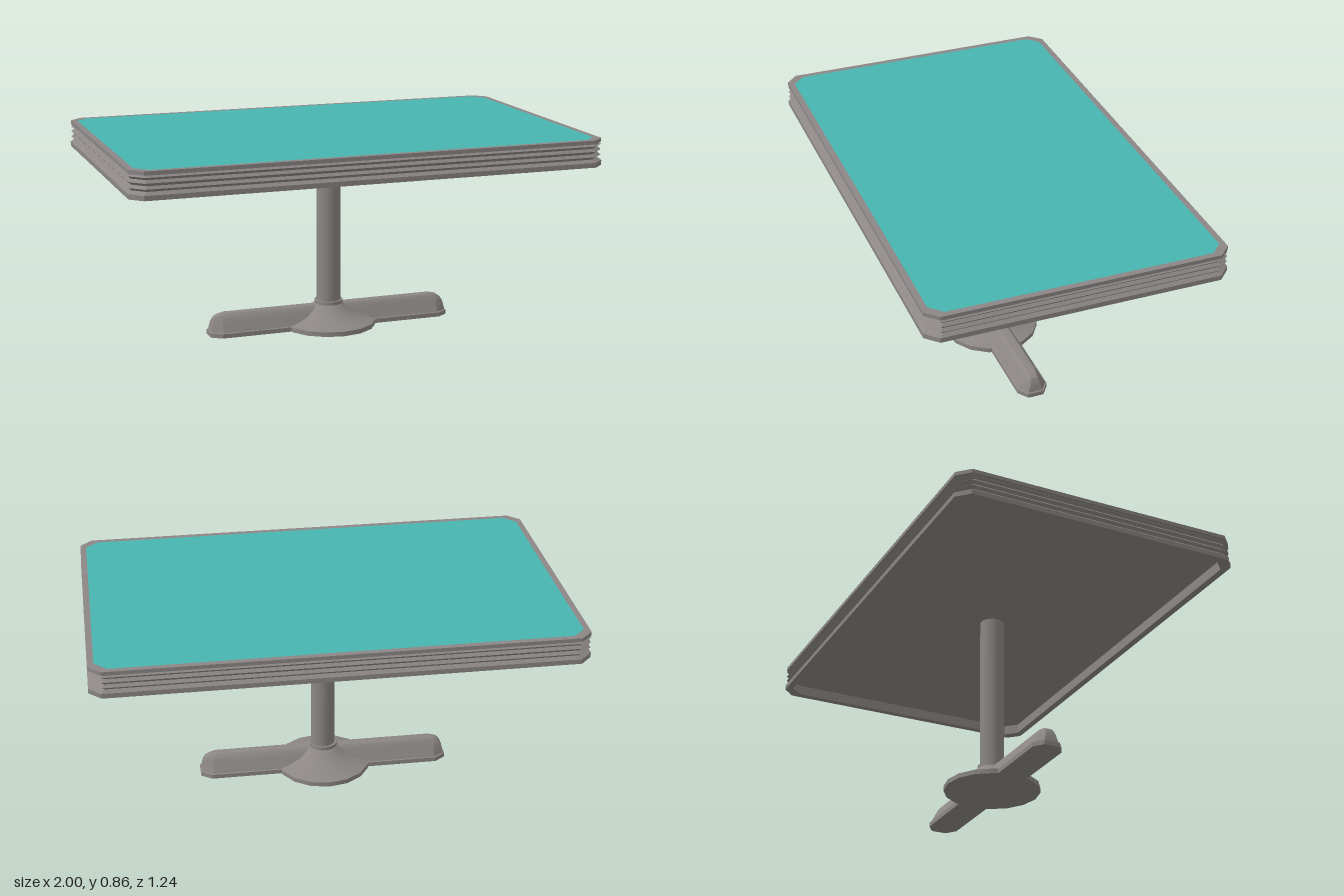
import * as THREE from 'three';
import { toCreasedNormals } from 'three/addons/utils/BufferGeometryUtils.js';

// Rectangle with cut corners, half sizes hx and hz, cuts cx and cz
function cutRect(hx, hz, cx, cz = cx) {
  return [
    [hx, -hz + cz], [hx, hz - cz], [hx - cx, hz], [-hx + cx, hz],
    [-hx, hz - cz], [-hx, -hz + cz], [-hx + cx, -hz], [hx - cx, -hz],
  ];
}

// Skin between stacked outlines, given as [y, outline] from bottom to top
function loft(rings, crease = 0.4) {
  const pos = [];
  for (let k = 0; k < rings.length - 1; k++) {
    const [y0, a] = rings[k];
    const [y1, b] = rings[k + 1];
    for (let i = 0; i < a.length; i++) {
      const j = (i + 1) % a.length;
      const A = [a[i][0], y0, a[i][1]], B = [b[i][0], y1, b[i][1]];
      const C = [b[j][0], y1, b[j][1]], D = [a[j][0], y0, a[j][1]];
      pos.push(...A, ...B, ...D, ...B, ...C, ...D);
    }
  }
  const g = new THREE.BufferGeometry();
  g.setAttribute('position', new THREE.Float32BufferAttribute(pos, 3));
  return toCreasedNormals(g, crease);
}

export function createModel() {
  const group = new THREE.Group();
  const metal = new THREE.MeshStandardMaterial({ color: 0x8c8786 });
  metal.name = 'grey metal';
  const teal = new THREE.MeshStandardMaterial({ color: 0x47b5b1 });
  teal.name = 'teal laminate';

  const add = (name, geometry, material) => {
    const mesh = new THREE.Mesh(geometry, material);
    mesh.name = name;
    group.add(mesh);
    return mesh;
  };

  // Ribbed edge band with a hollow underside, outline inset d at each height
  const edge = (d) => cutRect(1 - d, 0.622 - d, 0.05);
  const center = cutRect(0, 0, 0);
  const profile = [
    [0.795, 0.03], [0.751, 0.03], [0.751, 0], [0.771, 0],
    [0.783, 0.014], [0.794, 0.003], [0.805, 0.014], [0.817, 0.003],
    [0.828, 0.014], [0.839, 0.003], [0.846, 0.012], [0.848, 0.003],
    [0.864, 0.003], [0.864, 0.028],
  ];
  add('tableEdge', loft(profile.map(([y, d]) => [y, edge(d)])), metal);
  add('tableUnderside', loft([[0.795, center], [0.795, edge(0.03)]]), metal);

  // Tabletop surface
  add('tabletop', loft([[0.864, edge(0.028)], [0.864, center]]), teal);

  // Pole and collar
  const pole = add('pole', new THREE.CylinderGeometry(0.052, 0.052, 0.695, 24, 1, true), metal);
  pole.position.y = 0.4475;
  const collar = add('collar', toCreasedNormals(new THREE.CylinderGeometry(0.062, 0.062, 0.016, 24), 0.6), metal);
  collar.position.y = 0.104;

  // Flared hub
  const hubProfile = [
    [0, 0], [0.205, 0], [0.205, 0.02], [0.165, 0.033],
    [0.125, 0.05], [0.095, 0.07], [0.075, 0.088], [0.062, 0.098], [0, 0.098],
  ].map(([r, y]) => new THREE.Vector2(r, y));
  add('baseHub', toCreasedNormals(new THREE.LatheGeometry(hubProfile, 16), 0.6), metal);

  // Two feet made as one long bar, tapering to a narrow flat ridge
  const foot = [
    [0, center],
    [0, cutRect(0.543, 0.066, 0.045, 0.032)],
    [0.019, cutRect(0.543, 0.066, 0.045, 0.032)],
    [0.021, cutRect(0.537, 0.061, 0.045, 0.03)],
    [0.06, cutRect(0.53, 0.041, 0.04, 0.02)],
    [0.08, cutRect(0.518, 0.03, 0.03, 0.014)],
    [0.09, cutRect(0.503, 0.023, 0.02, 0.01)],
    [0.095, cutRect(0.48, 0.018, 0.01, 0.006)],
    [0.095, center],
  ];
  add('baseFeet', loft(foot), metal);

  return group;
}
